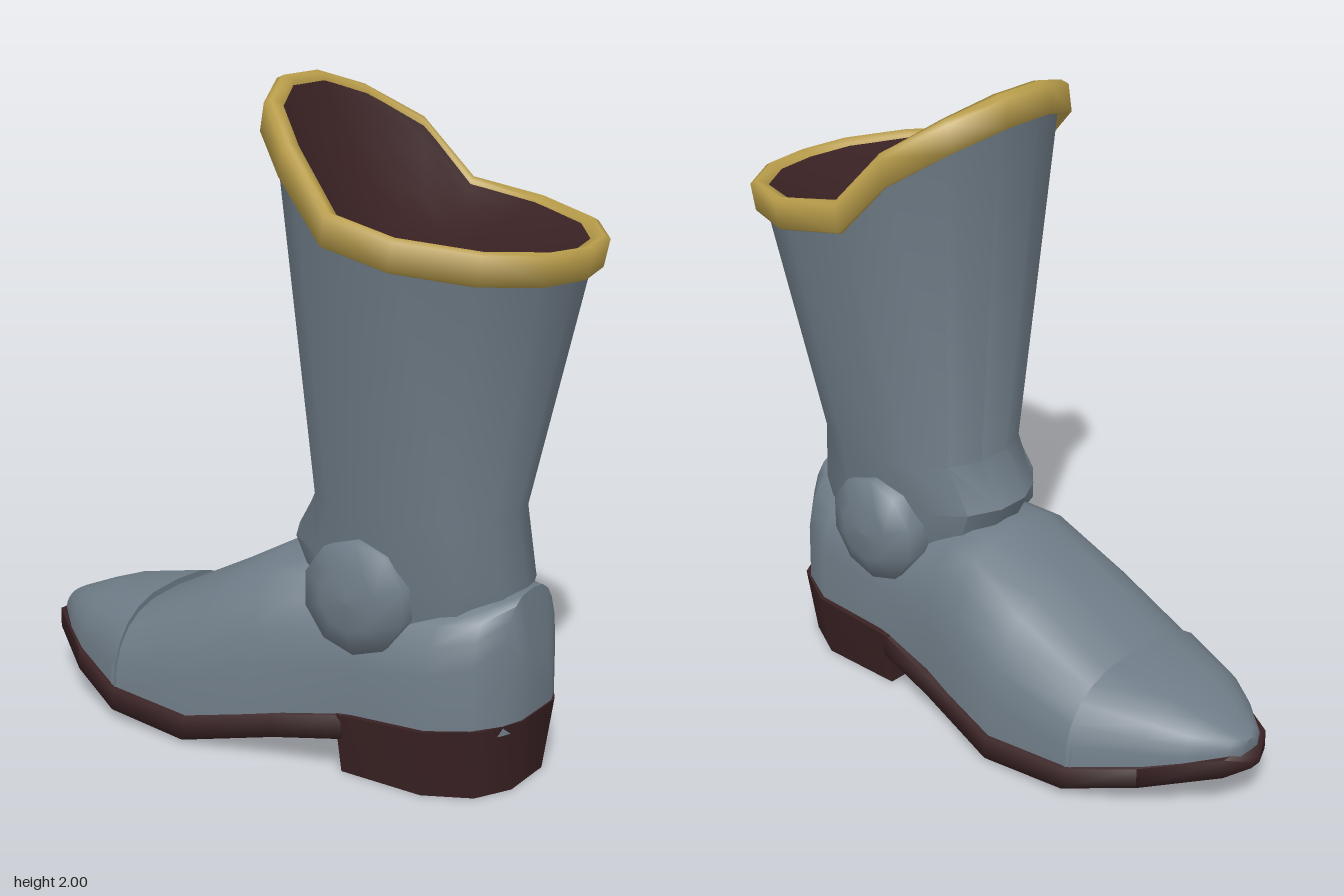
import * as THREE from 'three';
import { toCreasedNormals } from 'three/addons/utils/BufferGeometryUtils.js';

const material = (name, color) => {
  const m = new THREE.MeshStandardMaterial({ color, side: THREE.DoubleSide });
  m.name = name;
  return m;
};

// Skins a list of rings (arrays of [x, y, z]); optionally closes each ring and caps the ends.
function loft(rings, { closed = true, capStart = false, capEnd = false, crease = 0.7 } = {}) {
  const n = rings[0].length;
  const pos = rings.flat(2);
  const index = [];
  for (let r = 0; r < rings.length - 1; r++) {
    for (let i = 0; i < (closed ? n : n - 1); i++) {
      const j = (i + 1) % n;
      const a = r * n + i, b = r * n + j, c = b + n, d = a + n;
      index.push(a, b, d, b, c, d);
    }
  }
  const cap = (r, flip) => {
    const c = pos.length / 3;
    for (let k = 0; k < 3; k++) pos.push(rings[r].reduce((s, p) => s + p[k], 0) / n);
    for (let i = 0; i < n; i++) {
      const a = r * n + i, b = r * n + (i + 1) % n;
      index.push(c, flip ? b : a, flip ? a : b);
    }
  };
  if (capStart) cap(0, true);
  if (capEnd) cap(rings.length - 1, false);
  const g = new THREE.BufferGeometry();
  g.setAttribute('position', new THREE.Float32BufferAttribute(pos, 3));
  g.setIndex(index);
  return toCreasedNormals(g, crease);
}

export function createModel() {
  const boot = new THREE.Group();
  boot.name = 'boot';
  const leather = material('slate leather', 0x6e7b86);
  const brown = material('dark brown', 0x392123);
  const gold = material('gold trim', 0xb99d4a);
  const add = (name, geometry, mat) => {
    const mesh = new THREE.Mesh(geometry, mat);
    mesh.name = name;
    boot.add(mesh);
    return mesh;
  };

  // Collar outline [x, y, z] from back to front, mirrored across z
  const half = [[0.942, 1.59, 0], [0.912, 1.595, 0.16], [0.79, 1.61, 0.33], [0.57, 1.64, 0.43],
    [0.34, 1.68, 0.405], [0.18, 1.85, 0.37], [0.035, 1.95, 0.25], [-0.032, 2, 0.09]];
  const collar = [...half.map(([x, y, z]) => [x, y, -z]), ...half.slice(1).reverse()];
  const mid = 0.455;
  // Collar outline moved inward by d and down by drop, leaning back at the top
  const collarRing = (d, drop) => collar.map(([x, y, z]) => {
    const s = 1 - d / 0.46;
    return [mid + (x - mid) * s - drop * 0.2, y - drop, z * s];
  });
  const ankleRing = (cx, rx, rz, y, slope) => collar.map(([x, , z]) => {
    const u = (x - mid) / 0.487;
    return [cx + rx * u, y + slope * u, rz * z / 0.43];
  });

  // Shaft
  add('shaft', loft([
    ankleRing(0.42, 0.31, 0.22, 0.45, 0),
    ankleRing(0.395, 0.375, 0.255, 0.625, -0.035),
    ankleRing(0.415, 0.315, 0.27, 0.8, 0),
    collarRing(0.033, 0.06),
  ]), leather);

  // Collar band
  add('collarTrim', loft([[0.06, 0.09], [0.02, 0.098], [0.002, 0.09], [0, 0.01],
    [0.018, 0], [0.048, 0.008], [0.06, 0.09]].map(([d, drop]) => collarRing(d, drop)), { crease: 1.7 }), gold);

  // Shallow dished lining that fills the collar
  const lip = collarRing(0.042, 0.015);
  add('lining', loft([1, 0.93, 0.8, 0.6, 0.35, 0.01].map((f) => lip.map(([x, y, z]) => [
    mid + (x - mid) * f, 1.54 + (y - 1.54) * Math.pow(f, 2.1), z * f])), { crease: 1.5 }), brown);

  // Foot sections: [x, half width, bottom, top, roundness (lower is boxier)]
  const arch = ([x, w, yb, yt, p = 0.85]) => Array.from({ length: 13 }, (_, i) => {
    const t = Math.PI * (1 - i / 12), c = Math.cos(t);
    return [x, yb + (yt - yb) * Math.pow(Math.max(Math.sin(t), 0), p),
      w * Math.sign(c) * Math.pow(Math.abs(c), 0.7)];
  });
  add('toeCap', loft([
    [-0.915, 0.04, 0.19, 0.235], [-0.895, 0.08, 0.185, 0.25], [-0.8, 0.168, 0.16, 0.288],
    [-0.7, 0.237, 0.14, 0.322], [-0.49, 0.33, 0.085, 0.36],
  ].map(arch), { closed: false, capStart: true, capEnd: true, crease: 0.9 }), leather);
  add('foot', loft([
    [-0.51, 0.325, 0.08, 0.33], [-0.2, 0.35, 0.07, 0.49], [0, 0.318, 0.11, 0.6],
    [0.12, 0.292, 0.12, 0.6, 0.75], [0.35, 0.27, 0.15, 0.55, 0.6], [0.6, 0.283, 0.17, 0.565, 0.5],
    [0.72, 0.23, 0.18, 0.58, 0.45], [0.785, 0.155, 0.19, 0.59, 0.5], [0.81, 0.09, 0.19, 0.38, 0.6],
  ].map(arch), { closed: false, capEnd: true, crease: 0.9 }), leather);

  // Sole, curling up at the toe and running into the heel
  add('sole', loft([
    [-0.94, 0.02, 0.155, 0.175], [-0.9, 0.1, 0.143, 0.205], [-0.7, 0.25, 0.088, 0.155],
    [-0.49, 0.345, 0.032, 0.1], [-0.2, 0.367, 0.01, 0.083], [0.1, 0.315, 0.075, 0.145],
    [0.32, 0.284, 0.112, 0.187],
  ].map(([x, w, yb, yt]) => [[x, yt, -w], [x, yt, w], [x, yb, w], [x, yb, -w]]),
  { capStart: true, capEnd: true, crease: 1.7 }), brown);

  // Heel block, narrower at the ground, with a sloping top
  const heelHalf = [[0.3, 0.286], [0.6, 0.296], [0.75, 0.222], [0.815, 0.1]];
  const heelOutline = [...heelHalf, ...heelHalf.map(([x, z]) => [x, -z]).reverse()];
  add('heel', loft([
    heelOutline.map(([x, z]) => [0.31 + (x - 0.3) * 0.92, 0, z * 0.92]),
    heelOutline.map(([x, z]) => [x, 0.185 + (x - 0.3) * 0.07, z]),
  ], { capStart: true, capEnd: true, crease: 1.2 }), brown);

  // Domed ankle discs on both sides
  const dome = [[0.165, 0.18], [0.172, 0.283], [0.095, 0.316], [0.001, 0.325]]
    .map(([r, h]) => new THREE.Vector2(r, h));
  for (const side of [1, -1]) {
    const disc = add(side > 0 ? 'frontAnkleDisc' : 'rearAnkleDisc', new THREE.LatheGeometry(dome, 10), leather);
    disc.rotation.x = side * Math.PI / 2;
    disc.position.set(0.36, 0.555, 0);
  }
  return boot;
}
